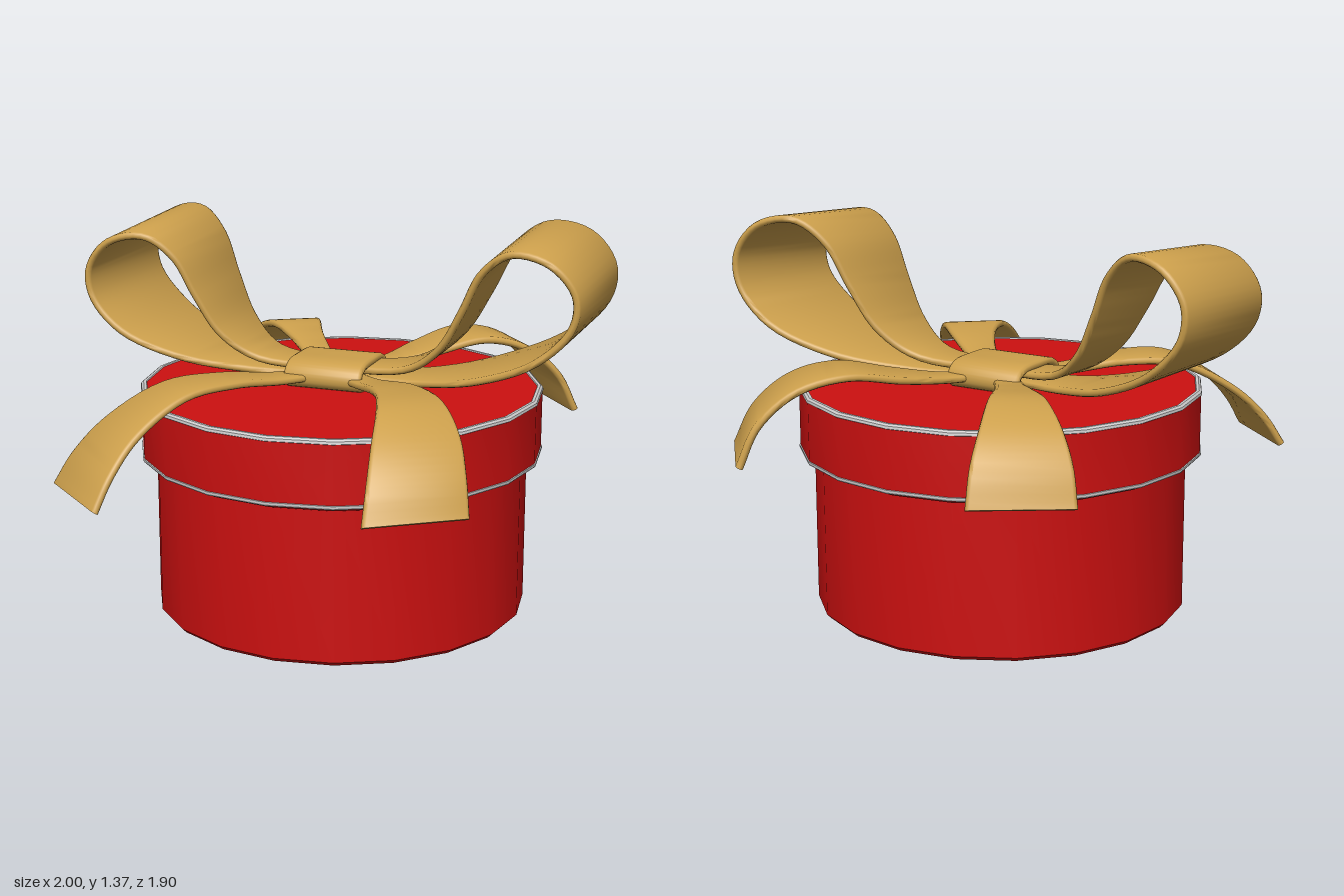
import * as THREE from 'three';
import { toCreasedNormals } from 'three/addons/utils/BufferGeometryUtils.js';

const red = new THREE.MeshStandardMaterial({ color: 0xcc1010 });
const gold = new THREE.MeshStandardMaterial({ color: 0xcda04c });
const grey = new THREE.MeshStandardMaterial({ color: 0xcccccc });

const BOX_X = 0.03;            // centre of the round box
const KNOT = { x: 0.03, z: -0.045 };

function add(parent, name, geometry, material) {
  const mesh = new THREE.Mesh(geometry, material);
  mesh.name = name;
  parent.add(mesh);
  return mesh;
}

// Twenty-sided turned part from [radius, y] points, listed bottom to top on the outside
function turned(points) {
  const profile = points.map(([r, y]) => new THREE.Vector2(r, y));
  return toCreasedNormals(new THREE.LatheGeometry(profile, 20, Math.PI / 20), 0.45);
}

// Solid ribbon swept between two edge curves, with softly rounded rims
function ribbon(leftPoints, rightPoints, steps, h = 0.013) {
  const left = new THREE.CatmullRomCurve3(leftPoints);
  const right = new THREE.CatmullRomCurve3(rightPoints);
  // rim inset (in thicknesses), side of the ribbon, height
  const ring = [[0, 1, 0], [0.3, 1, 0.7], [1, 1, 1], [1, -1, 1], [0.3, -1, 0.7],
    [0, -1, 0], [0.3, -1, -0.7], [1, -1, -1], [1, 1, -1], [0.3, 1, -0.7]];
  const n = ring.length, pos = [], index = [];
  const mid = (t) => left.getPoint(t).add(right.getPoint(t)).multiplyScalar(0.5);
  for (let i = 0; i <= steps; i++) {
    const t = i / steps;
    const c = mid(t);
    const w = right.getPoint(t).sub(c);
    const half = w.length();
    const along = mid(Math.min(1, t + 0.005)).sub(mid(Math.max(0, t - 0.005)));
    const up = along.cross(w).normalize();
    for (const [inset, side, v] of ring) {
      const p = c.clone().addScaledVector(w, side * (1 - inset * h / half)).addScaledVector(up, v * h);
      pos.push(p.x, p.y, p.z);
    }
  }
  for (let i = 0; i < steps; i++) {
    for (let j = 0; j < n; j++) {
      const a = i * n + j, b = i * n + (j + 1) % n;
      index.push(a, b, a + n, b, b + n, a + n);
    }
  }
  const last = steps * n;
  for (let j = 1; j < n - 1; j++) {
    index.push(0, j + 1, j, last, last + j, last + j + 1);
  }
  const geometry = new THREE.BufferGeometry();
  geometry.setAttribute('position', new THREE.Float32BufferAttribute(pos, 3));
  geometry.setIndex(index);
  return toCreasedNormals(geometry, 0.9);
}

// Bow loop: teardrop profile in the vertical plane, widening away from the knot
function bowLoop({ angle, stretch, skew, tilt, lift }) {
  const profile = [[0.02, 0.83], [0.3, 0.835], [0.53, 0.88], [0.73, 0.97], [0.84, 1.09],
    [0.85, 1.2], [0.77, 1.3], [0.64, 1.325], [0.54, 1.25], [0.47, 1.11], [0.39, 0.97],
    [0.27, 0.88], [0.02, 0.855]];
  const dx = Math.cos(angle), dz = Math.sin(angle);
  const edge = (side) => profile.map(([r0, y0]) => {
    const r = r0 * stretch;
    const half = 0.06 + 0.2 * THREE.MathUtils.smoothstep(r0, 0.05, 0.8);
    const rise = (y0 - 0.83) / 0.5;
    const s = side * half + skew * r;
    return new THREE.Vector3(KNOT.x + dx * r - dz * s, y0 + rise * (lift + tilt * side),
      KNOT.z + dz * r + dx * s);
  });
  return ribbon(edge(-1), edge(1), 64);
}

// Tail from rows of [edge x, edge z, other edge x, other edge z, y]
function tail(rows) {
  return ribbon(rows.map(([x, z, , , y]) => new THREE.Vector3(x, y, z)),
    rows.map(([, , x, z, y]) => new THREE.Vector3(x, y, z)), 32);
}

export function createModel() {
  const model = new THREE.Group();
  model.name = 'giftBox';

  // Round box and lid
  const box = new THREE.Group();
  box.name = 'box';
  box.position.x = BOX_X;
  model.add(box);
  add(box, 'body', turned([[0, 0], [0.645, 0], [0.66, 0.015], [0.66, 0.57]]), red);
  add(box, 'lid', turned([[0.65, 0.55], [0.675, 0.552], [0.7, 0.568], [0.71, 0.58],
    [0.71, 0.785], [0.695, 0.798], [0, 0.798]]), red);

  // Thin grey trims on the lid edges
  add(box, 'lowerTrim', turned([[0.695, 0.564], [0.71, 0.567], [0.714, 0.573], [0.714, 0.58],
    [0.7, 0.583]]), grey);
  add(box, 'upperTrim', turned([[0.705, 0.782], [0.713, 0.787], [0.711, 0.796], [0.703, 0.802],
    [0.693, 0.802], [0.69, 0.796]]), grey);

  // Bow
  const bow = new THREE.Group();
  bow.name = 'bow';
  model.add(bow);
  add(bow, 'backLoop', bowLoop({ angle: Math.atan2(-0.745, -0.67), stretch: 1, skew: 0,
    tilt: 0.018, lift: 0 }), gold);
  add(bow, 'frontLoop', bowLoop({ angle: Math.atan2(0.73, 0.69), stretch: 1.06, skew: -0.12,
    tilt: -0.016, lift: 0.018 }), gold);

  // Four tails draped over the lid
  const tails = {
    rightTail: [[0, -0.1, 0.02, 0, 0.835], [-0.2, -0.08, -0.2, 0.035, 0.838],
      [-0.4, -0.085, -0.4, 0.085, 0.858], [-0.6, -0.1, -0.6, 0.13, 0.845],
      [-0.8, -0.11, -0.79, 0.18, 0.745], [-0.92, -0.115, -0.9, 0.225, 0.635],
      [-0.99, -0.12, -0.965, 0.25, 0.53]],
    backTail: [[-0.02, -0.05, 0.07, -0.03, 0.835], [0.01, -0.25, 0.11, -0.23, 0.838],
      [0.03, -0.47, 0.16, -0.44, 0.87], [0.03, -0.65, 0.22, -0.6, 0.88],
      [0.02, -0.8, 0.28, -0.74, 0.825], [0.01, -0.89, 0.33, -0.83, 0.73],
      [0.01, -0.945, 0.355, -0.875, 0.61]],
    leftTail: [[0.05, -0.07, 0.05, -0.01, 0.835], [0.25, -0.13, 0.25, -0.03, 0.84],
      [0.42, -0.205, 0.43, -0.02, 0.865], [0.61, -0.245, 0.62, 0, 0.895],
      [0.79, -0.255, 0.77, 0.03, 0.855], [0.92, -0.265, 0.89, 0.06, 0.75],
      [0.985, -0.27, 0.955, 0.08, 0.615]],
    frontTail: [[-0.02, 0, 0.08, 0, 0.835], [-0.005, 0.17, 0.1, 0.17, 0.838],
      [-0.05, 0.43, 0.12, 0.42, 0.875], [-0.13, 0.61, 0.11, 0.63, 0.87],
      [-0.21, 0.74, 0.09, 0.78, 0.8], [-0.27, 0.83, 0.06, 0.88, 0.7],
      [-0.31, 0.88, 0.04, 0.94, 0.585]],
  };
  for (const [name, rows] of Object.entries(tails)) add(bow, name, tail(rows), gold);

  // Square knot band wrapped over the middle
  const band = [[-0.1, 0.805], [-0.133, 0.82], [-0.133, 0.85], [-0.1, 0.876], [0, 0.883],
    [0.1, 0.876], [0.133, 0.85], [0.133, 0.82], [0.1, 0.805]];
  const bandEdge = (x) => band.map(([z, y]) => new THREE.Vector3(x, y, z));
  const knot = add(bow, 'knot', ribbon(bandEdge(-0.145), bandEdge(0.145), 32), gold);
  knot.position.set(KNOT.x, 0, KNOT.z);
  knot.rotation.y = -Math.PI / 4;

  return model;
}
